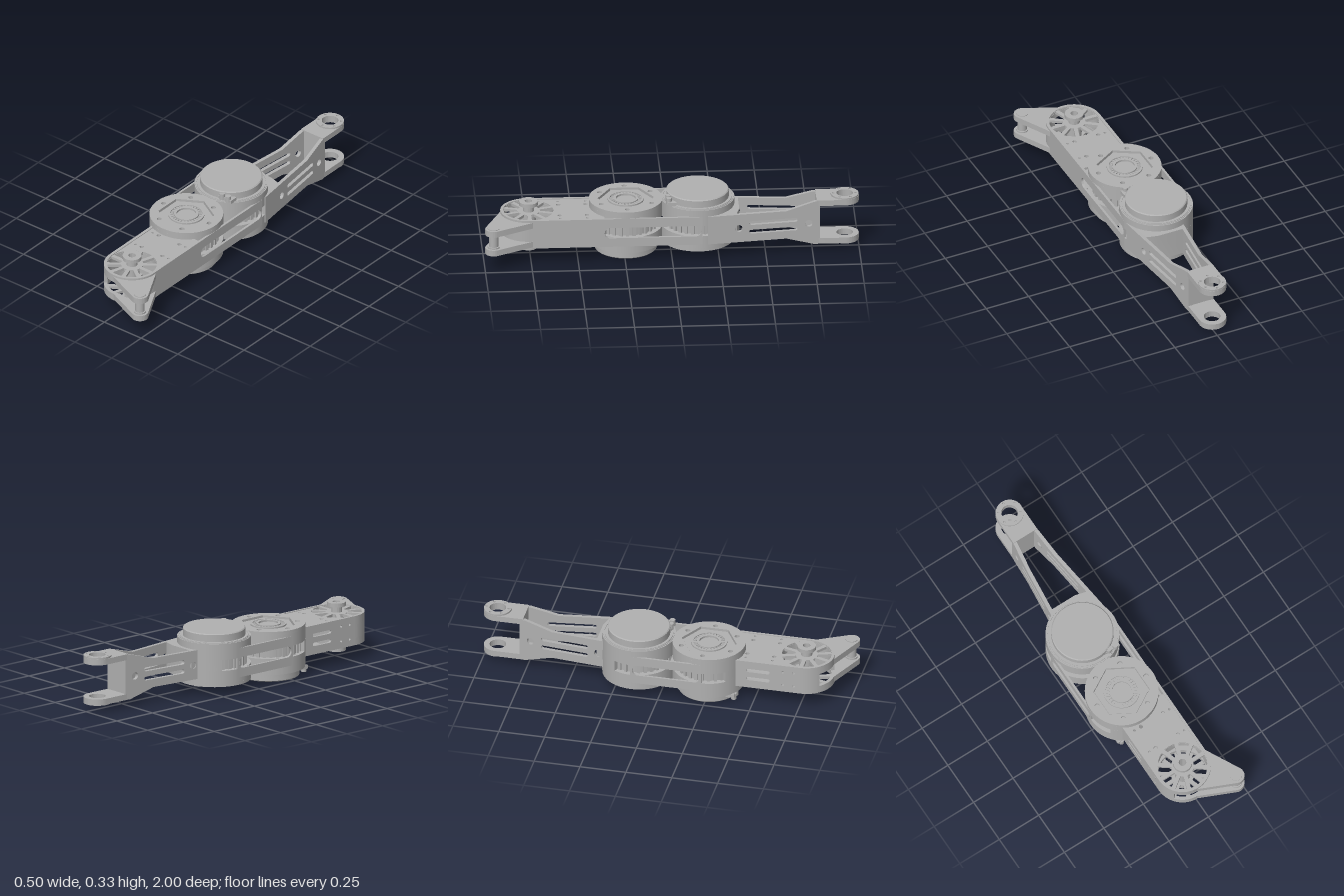
import * as THREE from 'three';
import { toCreasedNormals } from 'three/addons/utils/BufferGeometryUtils.js';

const metal = new THREE.MeshStandardMaterial({ color: 0xb0b0b0 });
metal.name = 'grey metal';

const MID = 0.169;                   // mid height of the link
const BODY_X = -0.053;               // drum axis in x
const REAR_Z = -0.145, FRONT_Z = 0.237;
const PX = -0.006, PZ = 0.757;       // front joint axis
const EYE_Z = -0.925;                // rear eye axis

function add(parent, name, geo, x = 0, y = 0, z = 0) {
  const m = new THREE.Mesh(geo, metal);
  m.name = name;
  m.position.set(x, y, z);
  parent.add(m);
  return m;
}
// Shapes are drawn in (x, -z) and raised from y0 to y1
function plate(shape, y0, y1) {
  const g = new THREE.ExtrudeGeometry(shape, { depth: y1 - y0, bevelEnabled: false, curveSegments: 32 });
  g.rotateX(-Math.PI / 2).translate(0, y0, 0);
  return toCreasedNormals(g, 0.5);
}
// Walls are drawn in (-z, y), given a thickness in x and sheared by a slope
function wall(shape, x, thick, slope = 0, sFrom = 0) {
  const g = new THREE.ExtrudeGeometry(shape, { depth: thick, bevelEnabled: false, curveSegments: 10 });
  g.rotateY(Math.PI / 2).translate(x, 0, 0);
  const p = g.attributes.position;
  for (let i = 0; i < p.count; i++) p.setX(i, p.getX(i) + slope * (-p.getZ(i) - sFrom));
  g.computeVertexNormals();
  return toCreasedNormals(g, 0.5);
}
const cyl = (r, h, n = 48, r2 = r) => new THREE.CylinderGeometry(r2, r, h, n);
const poly = pts => new THREE.Shape(pts.map(p => new THREE.Vector2(p[0], p[1])));
const disc = (x, y, r) => new THREE.Shape().absarc(x, y, r, 0, Math.PI * 2, false);
function arc(x, y, ro, ri, a0, a1) {
  return new THREE.Shape().absarc(x, y, ro, a0, a1, false).absarc(x, y, ri, a1, a0, true);
}
function ring(x, y, ro, ri) {
  const s = disc(x, y, ro);
  s.holes.push(disc(x, y, ri));
  return s;
}
function slot(a, b, y, r) {
  return new THREE.Shape().absarc(b - r, y, r, -Math.PI / 2, Math.PI / 2, false)
    .absarc(a + r, y, r, Math.PI / 2, Math.PI * 1.5, false);
}

// Motor drum: cap on the upper end, hex recess with splined hub on the lower end
function drum(name) {
  const g = new THREE.Group();
  g.name = name;
  add(g, 'upperHousing', cyl(0.196, 0.088, 72), 0, 0.074, 0);
  add(g, 'lowerHousing', cyl(0.196, 0.07, 72), 0, -0.065, 0);
  add(g, 'statorCore', cyl(0.165, 0.062), 0, 0, 0);
  for (let i = 0; i < 30; i++) {
    const a = i / 30 * Math.PI * 2;
    const coil = add(g, 'coil', new THREE.BoxGeometry(0.014, 0.06, 0.016), Math.cos(a) * 0.167, 0, Math.sin(a) * 0.167);
    coil.rotation.y = -a;
  }
  // Cap with a chamfered rim
  const cap = [[0, 0.165], [0.161, 0.165], [0.166, 0.16], [0.166, 0.122], [0.182, 0.122], [0.182, 0.116]]
    .reverse().map(p => new THREE.Vector2(p[0], p[1]));
  add(g, 'motorCap', toCreasedNormals(new THREE.LatheGeometry(cap, 64), 0.5));
  add(g, 'capRim', plate(ring(0, 0, 0.19, 0.184), 0.117, 0.121));
  add(g, 'terminalBase', new THREE.BoxGeometry(0.09, 0.02, 0.045), 0.085, 0.128, 0.142);
  for (const x of [0.065, 0.105]) add(g, 'terminal', cyl(0.015, 0.034, 16), x, 0.14, 0.158);
  // Hex recess and bolt holes
  const face = disc(0, 0, 0.196);
  const hex = [];
  for (let i = 0; i < 6; i++) {
    const a = i * Math.PI / 3, b = a + Math.PI / 6;
    hex.push([Math.cos(b) * 0.15, Math.sin(b) * 0.15]);
    face.holes.push(disc(Math.cos(a) * 0.155, Math.sin(a) * 0.155, 0.013));
  }
  face.holes.push(poly(hex));
  add(g, 'hexFace', plate(face, -0.118, -0.1));
  add(g, 'hexInsert', plate(poly(hex.map(p => [p[0] * 0.96, p[1] * 0.96])), -0.108, -0.1));
  add(g, 'hubOuterRing', plate(ring(0, 0, 0.096, 0.085), -0.116, -0.1));
  add(g, 'hubInnerRing', plate(ring(0, 0, 0.066, 0.052), -0.118, -0.1));
  for (let i = 0; i < 28; i++) {
    const a = i / 28 * Math.PI * 2;
    const t = add(g, 'hubTooth', new THREE.BoxGeometry(0.016, 0.012, 0.008), Math.cos(a) * 0.076, -0.108, Math.sin(a) * 0.076);
    t.rotation.y = -a;
  }
  return g;
}

export function createModel() {
  const model = new THREE.Group();
  model.name = 'legLink';

  // Two drums, the front one turned over
  const rear = drum('rearDrum');
  rear.position.set(BODY_X, MID - 0.001, REAR_Z);
  const front = drum('frontDrum');
  front.position.set(BODY_X, MID - 0.001, FRONT_Z);
  front.rotation.z = Math.PI;
  model.add(rear, front);

  // Outer shells at mid height, leaving the side slots open
  add(model, 'rearShell', plate(arc(BODY_X, -REAR_Z, 0.196, 0.172, 0.5, Math.PI - 0.5), MID - 0.031, MID + 0.031));
  add(model, 'frontShell', plate(arc(BODY_X, -FRONT_Z, 0.196, 0.172, Math.PI + 0.68, Math.PI * 2 - 0.68), MID - 0.031, MID + 0.031));

  // Side walls with a long slot
  const leftWall = poly([[-PZ, 0.09], [0.16, 0.09], [0.16, 0.25], [-PZ, 0.25]]);
  leftWall.holes.push(slot(-0.36, 0.155, MID, 0.03));
  add(model, 'leftWall', wall(leftWall, 0.131, 0.013));
  const rightWall = poly([[-0.24, 0.09], [0.15, 0.09], [0.15, 0.25], [-0.24, 0.25]]);
  rightWall.holes.push(slot(-0.23, 0.14, MID, 0.03));
  add(model, 'rightWall', wall(rightWall, -0.249, 0.012));
  const armWall = poly([[-PZ, 0.09], [-0.36, 0.09], [-0.36, 0.25], [-PZ, 0.25]]);
  for (const y of [0.145, 0.195]) armWall.holes.push(slot(-0.59, -0.46, y, 0.01));
  for (const s of [-0.66, -0.72]) for (const y of [0.13, 0.21]) armWall.holes.push(disc(s, y, 0.007));
  add(model, 'armRightWall', wall(armWall, -0.156, 0.016));

  // Front arm plates with spoked ends
  for (const [y0, y1] of [[0.093, 0.108], [0.231, 0.246]]) {
    const s = new THREE.Shape();
    s.moveTo(-0.155, -0.36);
    s.lineTo(-0.155, -PZ);
    s.absarc(PX, -PZ, 0.149, Math.PI, Math.PI * 2, false);
    s.lineTo(0.143, -0.36);
    for (let i = 0; i < 10; i++) {
      const a = (i + 0.5) * Math.PI / 5;
      const w = new THREE.Shape().absarc(PX, -PZ, 0.132, a - 0.23, a + 0.23, false)
        .absarc(PX, -PZ, 0.06, a + 0.14, a - 0.14, true);
      s.holes.push(w);
    }
    for (const x of [-0.11, -0.07, 0.07, 0.11]) for (const z of [0.45, 0.595]) {
      s.holes.push(disc(x, -z, Math.abs(x) < 0.1 ? 0.011 : 0.007));
    }
    s.holes.push(disc(PX, -PZ, 0.02));
    add(model, 'armPlate', plate(s, y0, y1));
  }
  add(model, 'armCrossWall', new THREE.BoxGeometry(0.28, 0.13, 0.014), PX, MID, 0.6);

  // Rounded nose with a window
  const nose = (a0, a1, y0, y1) => add(model, 'noseWall', plate(arc(PX, -PZ, 0.15, 0.134, a0, a1), y0, y1));
  nose(Math.PI, Math.PI * 2, 0.09, 0.13);
  nose(Math.PI, Math.PI * 2, 0.205, 0.25);
  nose(Math.PI, Math.PI * 1.22, 0.13, 0.205);
  nose(Math.PI * 1.63, Math.PI * 2, 0.13, 0.205);

  // Hollow shaft with end collars
  add(model, 'hub', plate(ring(PX, -PZ, 0.04, 0.02), 0.1, 0.24));
  add(model, 'shaft', plate(ring(PX, -PZ, 0.03, 0.02), 0.04, 0.295));
  for (const y of [0.035, 0.28]) add(model, 'shaftCollar', plate(ring(PX, -PZ, 0.05, 0.02), y, y + 0.021));
  const bolt = add(model, 'hubBolt', cyl(0.017, 0.012, 24), PX, MID, PZ + 0.04);
  bolt.rotation.x = Math.PI / 2;

  // Crank fork reaching out from the front joint
  const tx = 0.205, tz = 0.954, R = 0.14, r = 0.045;
  const dir = Math.atan2(-(tz - PZ), tx - PX);
  const phi = Math.acos((R - r) / Math.hypot(tx - PX, tz - PZ));
  for (const [y0, y1] of [[0.097, 0.13], [0.206, 0.239]]) {
    const s = new THREE.Shape().absarc(tx, -tz, r, dir - phi, dir + phi, false)
      .absarc(PX, -PZ, R, dir + phi, dir - phi + Math.PI * 2, false);
    s.holes.push(disc(PX, -PZ, 0.131));
    add(model, 'crankPlate', plate(s, y0, y1));
  }
  add(model, 'crankPin', cyl(0.025, 0.11, 32), tx, MID - 0.001, tz);
  for (const y of [0.097, 0.134, 0.202, 0.239]) add(model, 'pinWasher', cyl(0.032, 0.008, 32), tx, y, tz);

  // Rear tapering arms with slots and flared ends
  const rearArm = (name, s0, xOuter, xEnd, inward) => {
    const s = poly([[s0, 0.09], [0.61, 0.09], [0.76, 0.046], [0.79, 0.046], [0.79, 0.292], [0.76, 0.292], [0.61, 0.249], [s0, 0.249]]);
    for (const y of [0.145, 0.195]) s.holes.push(slot(0.41, 0.67, y, 0.011));
    for (const c of [0.355, 0.73]) s.holes.push(disc(c, MID, 0.02));
    const x = inward < 0 ? xOuter - 0.02 : xOuter;
    add(model, name, wall(s, x, 0.02, (xEnd - xOuter) / (0.79 - s0), s0));
  };
  rearArm('rearLeftArm', 0.19, 0.143, 0.068, -1);
  rearArm('rearRightArm', 0.3, -0.13, -0.08, 1);
  const bridge = poly([[-0.125, 0.25], [0.128, 0.25], [0.105, 0.345], [0.04, 0.362], [-0.12, 0.362]]);
  add(model, 'rearBridge', plate(bridge, 0.09, 0.249));

  // Rear yoke: cross web and two eye plates
  add(model, 'yokeWeb', new THREE.BoxGeometry(0.147, 0.23, 0.016), PX, MID, -0.78);
  for (const [y0, y1, lip] of [[0.046, 0.078, 0.043], [0.265, 0.297, 0.297]]) {
    const s = new THREE.Shape();
    s.moveTo(0.069, 0.772);
    s.lineTo(0.069, -EYE_Z);
    s.absarc(PX, -EYE_Z, 0.075, 0, Math.PI, false);
    s.lineTo(-0.081, 0.772);
    s.holes.push(disc(PX, -EYE_Z, 0.044));
    add(model, 'eyePlate', plate(s, y0, y1));
    // Raised bearing ring with bolt holes
    const b = ring(PX, -EYE_Z, 0.074, 0.044);
    for (let i = 0; i < 6; i++) {
      const a = (i + 0.5) * Math.PI / 3;
      b.holes.push(disc(PX + Math.cos(a) * 0.06, -EYE_Z + Math.sin(a) * 0.06, 0.007));
    }
    add(model, 'eyeRing', plate(b, lip, lip + (lip > MID ? 0.009 : 0.003)));
  }
  return model;
}
